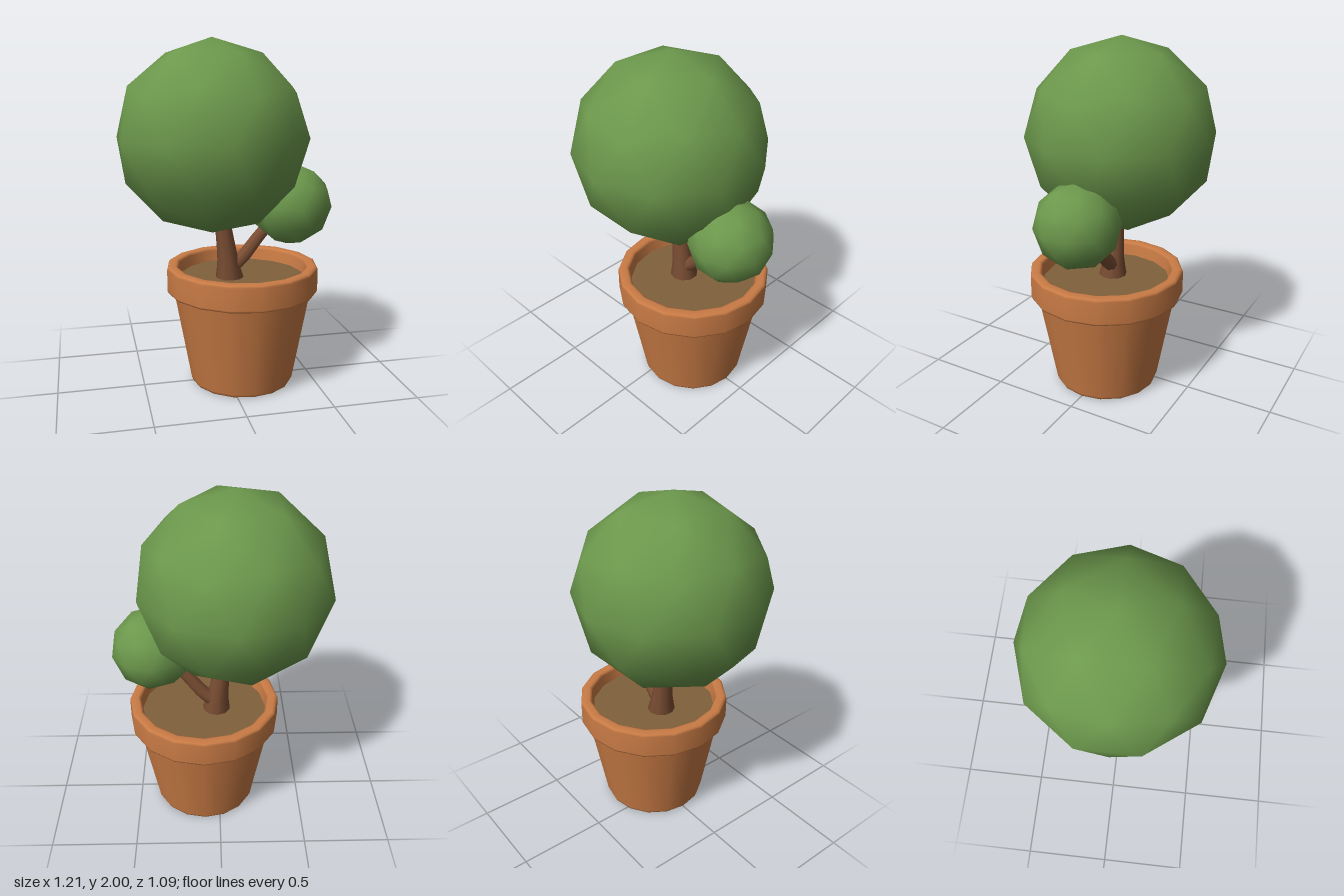
import * as THREE from 'three';

const paint = (color) => new THREE.MeshStandardMaterial({ color });

export function createModel() {
  const tree = new THREE.Group();
  tree.name = 'pottedTree';
  const clay = paint(0xc97b45), earth = paint(0x80603c), bark = paint(0x7d4f34), leaf = paint(0x6c984c);

  function add(name, geometry, material, x = 0, y = 0, z = 0) {
    const mesh = new THREE.Mesh(geometry, material);
    mesh.name = name;
    mesh.position.set(x, y, z);
    tree.add(mesh);
    return mesh;
  }

  // Pot: one lathed wall, bevelled at the base and the rim, open at the top
  const profile = [
    [0, 0], [0.285, 0], [0.298, 0.004], [0.305, 0.02],
    [0.4, 0.545], [0.403, 0.555], [0.425, 0.556], [0.438, 0.56], [0.443, 0.572],
    [0.443, 0.698], [0.438, 0.71], [0.425, 0.715],
    [0.395, 0.715], [0.383, 0.71], [0.378, 0.698], [0.36, 0.58],
  ].map(([r, y]) => new THREE.Vector2(r, y));
  add('pot', new THREE.LatheGeometry(profile, 16), clay, 0.09);

  // Soil disc inside the rim
  add('soil', new THREE.CircleGeometry(0.372, 16).rotateX(-Math.PI / 2), earth, 0.09, 0.635, 0);

  // Tapered limb: a tube whose rings are scaled along the path
  function limb(name, points, radii, sides) {
    const path = new THREE.CatmullRomCurve3(points.map((p) => new THREE.Vector3(...p)));
    const steps = 8;
    const geometry = new THREE.TubeGeometry(path, steps, 1, sides);
    const pos = geometry.attributes.position, v = new THREE.Vector3();
    for (let i = 0; i < pos.count; i++) {
      const t = Math.floor(i / (sides + 1)) / steps;
      const s = t * (radii.length - 1), k = Math.min(Math.floor(s), radii.length - 2);
      const r = THREE.MathUtils.lerp(radii[k], radii[k + 1], s - k);
      const c = path.getPointAt(t);
      v.fromBufferAttribute(pos, i).sub(c).multiplyScalar(r).add(c);
      pos.setXYZ(i, v.x, v.y, v.z);
    }
    geometry.computeBoundingSphere();
    add(name, geometry, bark);
  }
  limb('trunk', [[0.015, 0.62, 0], [0.002, 0.76, 0], [-0.02, 0.92, 0], [-0.04, 1.08, 0]],
    [0.085, 0.064, 0.056, 0.05, 0.045, 0.04], 10);
  limb('branch', [[0.02, 0.69, -0.005], [0.09, 0.745, -0.005], [0.21, 0.895, 0], [0.34, 1.03, 0]],
    [0.045, 0.04, 0.036, 0.032], 8);

  // Foliage: smooth faceted balls with one corner turned straight up
  const tip = Math.atan(2 / (1 + Math.sqrt(5)));
  const ball = (r) => new THREE.IcosahedronGeometry(r, 1).rotateZ(-tip);
  add('largeFoliage', ball(0.547), leaf, -0.085, 1.453, 0);
  const small = add('smallFoliage', ball(0.239).rotateY(Math.PI), leaf, 0.378, 1.058, 0.01);
  small.rotation.z = -0.06;

  return tree;
}
